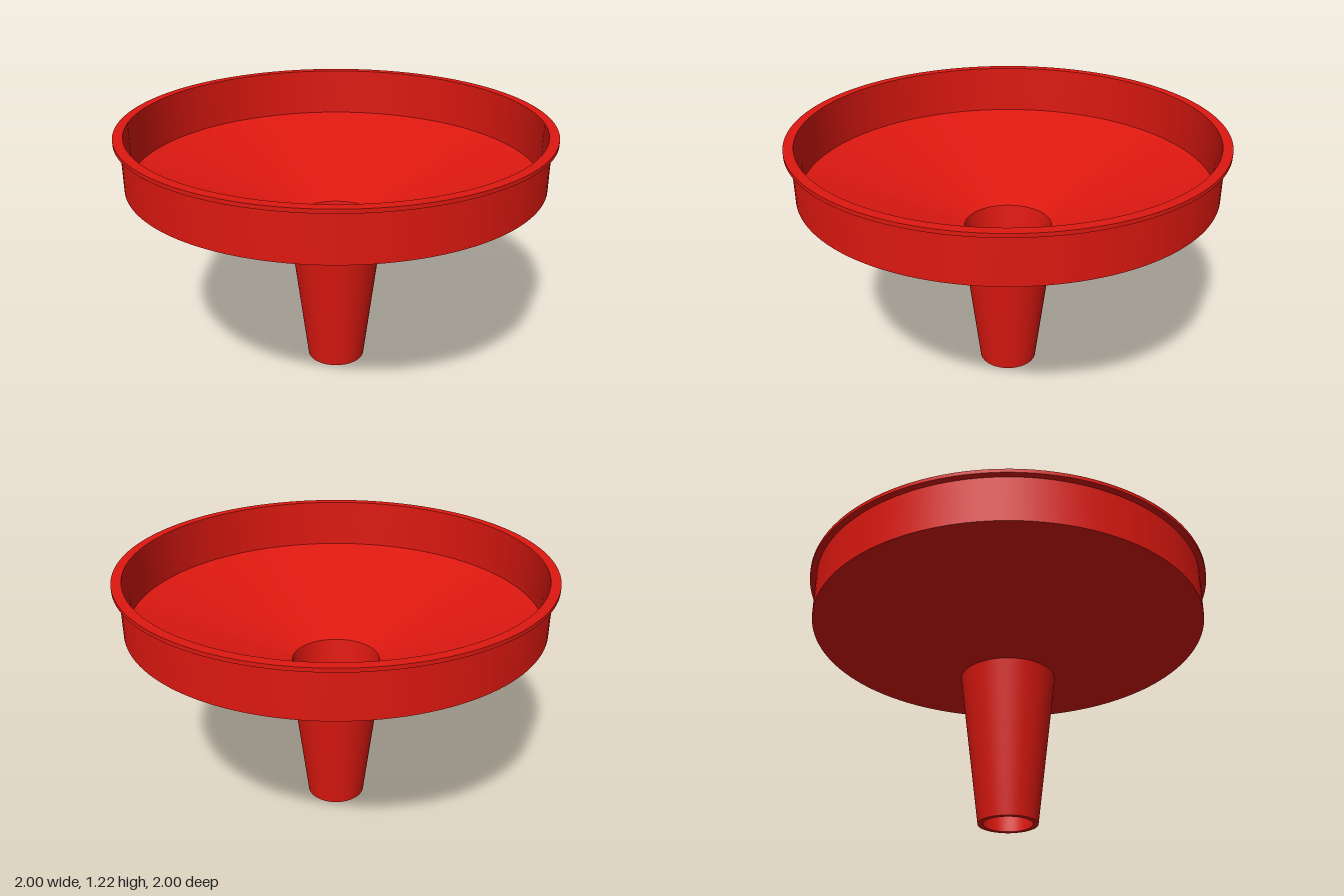
import * as THREE from 'three';
import { mergeGeometries } from 'three/addons/utils/BufferGeometryUtils.js';

const SEGMENTS = 128;

// Revolve each straight run of a profile on its own, so corners stay crisp
// while the round direction stays smooth. Upward runs face outward.
function turned(...profiles) {
  const bands = [];
  for (const profile of profiles) {
    for (let i = 0; i < profile.length - 1; i++) {
      const run = [profile[i], profile[i + 1]].map(([r, y]) => new THREE.Vector2(r, y));
      bands.push(new THREE.LatheGeometry(run, SEGMENTS));
    }
  }
  return mergeGeometries(bands);
}

export function createModel() {
  const group = new THREE.Group();
  group.name = 'funnel';
  const red = new THREE.MeshStandardMaterial({ color: 0xdd1810 });

  const add = (name, geometry) => {
    const mesh = new THREE.Mesh(geometry, red);
    mesh.name = name;
    group.add(mesh);
  };

  // Tapered spout: inner wall down, bottom edge, outer wall up
  add('spout', turned([[0.208, 0.745], [0.115, 0], [0.14, 0], [0.23, 0.74]]));

  // Sloping cone: underside and inner floor
  add('cone', turned([[0.23, 0.74], [0.97, 0.977]], [[0.955, 0.98], [0.208, 0.745]]));

  // Upright bowl wall: outside and inside
  add('bowlWall', turned([[0.97, 0.977], [0.97, 1.198]], [[0.955, 1.216], [0.955, 0.98]]));

  // Thin lip around the top
  add('rim', turned([[0.97, 1.198], [1, 1.198], [1, 1.216], [0.955, 1.216]]));

  return group;
}
